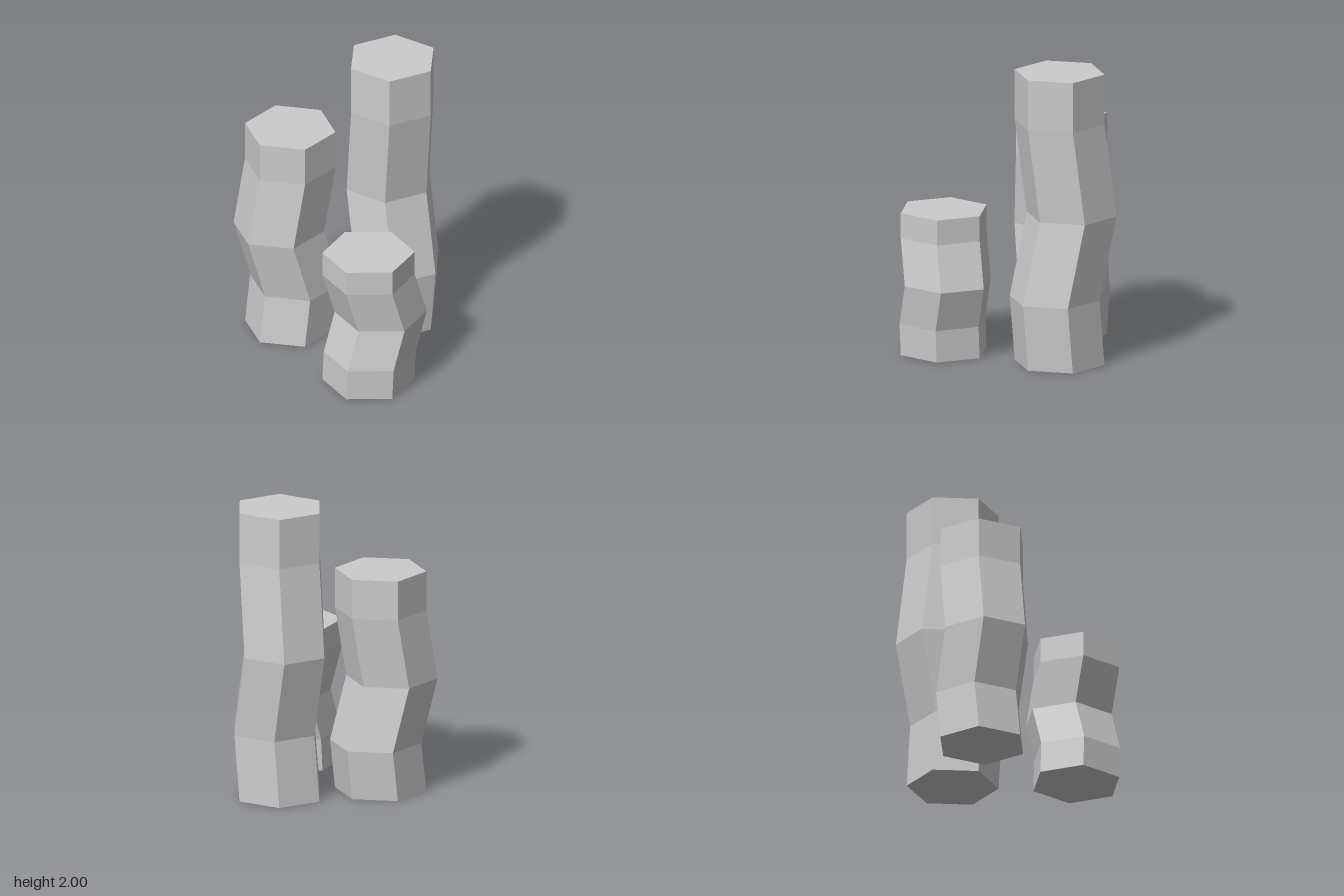
import * as THREE from 'three';

const SIDES = 6;
const RADIUS = 0.307;

// Each column: centre, turn of its hexagon in degrees, and rings of [y, shift x, shift z] from the ground up
const COLUMNS = [
  {
    name: 'tallColumn', x: 0.358, z: -0.368, turn: 26.7,
    rings: [[0, 0, 0], [0.45, 0.035, 0.024], [1.017, -0.038, -0.072], [1.658, 0, 0], [2, 0, 0]],
  },
  {
    name: 'middleColumn', x: -0.304, z: -0.184, turn: 4.4,
    rings: [[0, 0, 0], [0.34, 0.031, -0.028], [0.772, -0.073, 0.032], [1.253, 0, 0], [1.524, 0, 0]],
  },
  {
    name: 'shortColumn', x: 0.298, z: 0.455, turn: -8,
    rings: [[0, 0, 0], [0.218, 0.01, 0.005], [0.498, 0.076, -0.051], [0.806, 0, 0], [0.978, 0, 0]],
  },
];

// Hexagonal prism whose rings slide sideways, giving the kinked stack
function kinkedColumn(turn, rings) {
  const steps = rings.length - 1;
  const start = Math.PI / 6 - THREE.MathUtils.degToRad(turn);
  const geometry = new THREE.CylinderGeometry(RADIUS, RADIUS, 1, SIDES, steps, false, start);
  const p = geometry.attributes.position;
  for (let i = 0; i < p.count; i++) {
    const [y, dx, dz] = rings[Math.round((p.getY(i) + 0.5) * steps)];
    p.setXYZ(i, p.getX(i) + dx, y, p.getZ(i) + dz);
  }
  geometry.computeVertexNormals();
  return geometry;
}

export function createModel() {
  const model = new THREE.Group();
  model.name = 'rockColumns';
  const stone = new THREE.MeshStandardMaterial({ color: 0xcccccc, flatShading: true });
  for (const { name, x, z, turn, rings } of COLUMNS) {
    const column = new THREE.Mesh(kinkedColumn(turn, rings), stone);
    column.name = name;
    column.position.set(x, 0, z);
    model.add(column);
  }
  return model;
}
